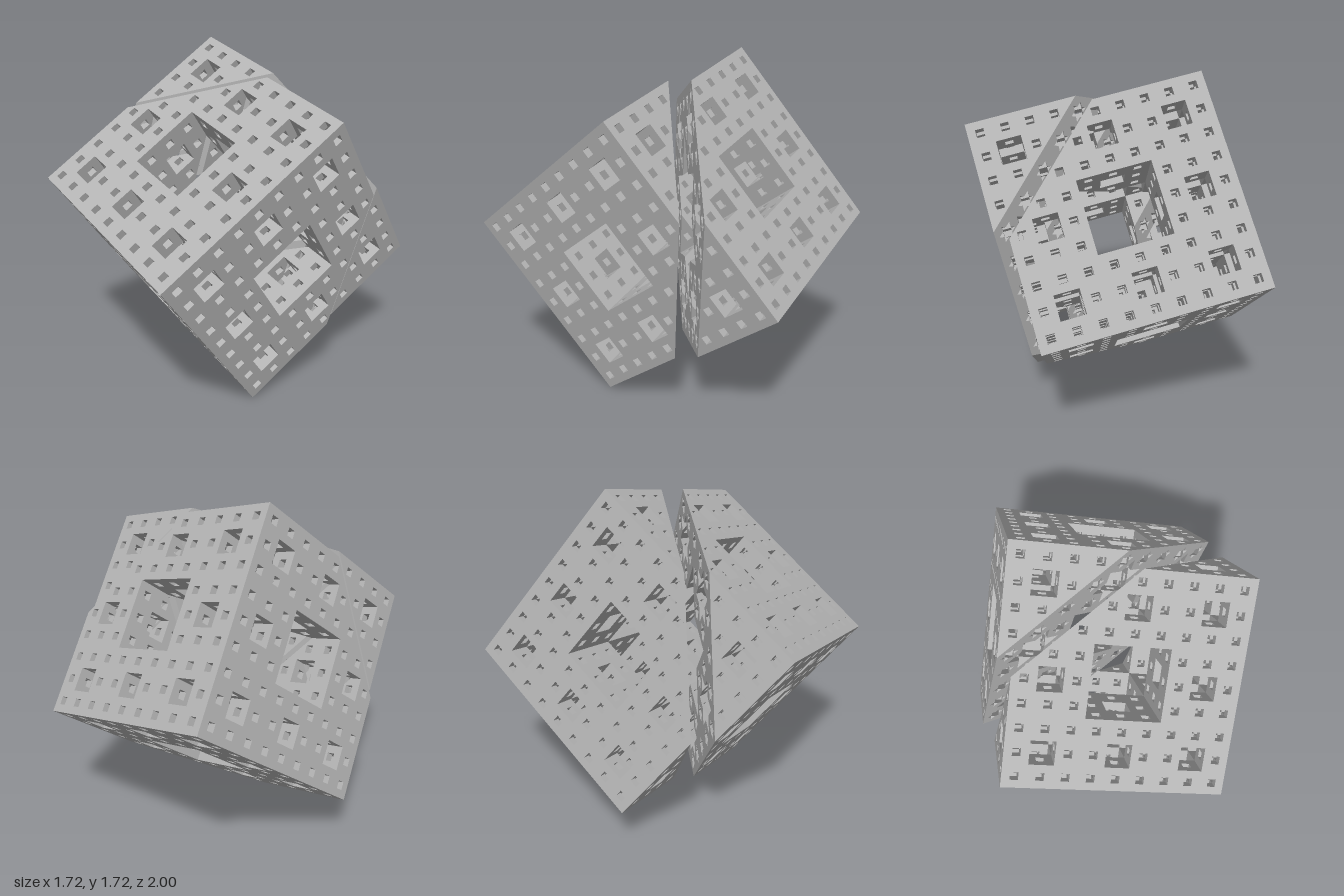
import * as THREE from 'three';

const N = 27;               // cells along one cube edge (three subdivisions)
const SIDE = 1.0905;        // cube edge length
const CELL = SIDE / N;
const GAP = 1 - SIDE * Math.sqrt(3) / 2;   // how far each half is moved from the cut

// Cube axes, with the body diagonal along z
const AXES = [105, 225, 345].map((deg) => {
  const a = THREE.MathUtils.degToRad(deg);
  const r = Math.sqrt(2 / 3);
  return new THREE.Vector3(r * Math.cos(a), r * Math.sin(a), Math.sqrt(1 / 3));
});

// A cell is removed when two of its base-3 digits are 1 at the same level
function isSolid(cell) {
  if (cell.some((c) => c < 0 || c >= N)) return false;
  for (let d = 1; d < N; d *= 3) {
    if (cell.filter((c) => Math.floor(c / d) % 3 === 1).length > 1) return false;
  }
  return true;
}

function toSpace(p) {
  const v = new THREE.Vector3();
  AXES.forEach((axis, i) => v.addScaledVector(axis, (p[i] - N / 2) * CELL));
  return v;
}

// Keep the part of a polygon on one side of the cutting plane z = 0
function clip(points, side) {
  const out = [];
  points.forEach((p, i) => {
    const q = points[(i + 1) % points.length];
    if (p.z * side > 0) out.push(p);
    if (p.z * q.z < 0) out.push(p.clone().lerp(q, p.z / (p.z - q.z)));
  });
  return out;
}

// One square side of a cell, wound to face outwards
function cellFace(cell, axis, dir) {
  const u = (axis + 1) % 3, v = (axis + 2) % 3;
  const quad = [[0, 0], [1, 0], [1, 1], [0, 1]].map(([a, b]) => {
    const p = [...cell];
    p[axis] += dir > 0 ? 1 : 0;
    p[u] += a;
    p[v] += b;
    return toSpace(p);
  });
  return dir > 0 ? quad : quad.reverse();
}

// Triangle or hexagon where the cutting plane passes through a cell
function cutFace(cell, side) {
  const t = 1.5 * N - cell[0] - cell[1] - cell[2];
  if (t < 0 || t > 3) return [];
  const points = [];
  for (let axis = 0; axis < 3; axis++) {
    for (const a of [0, 1]) for (const b of [0, 1]) {
      const along = t - a - b;
      if (along <= 0 || along >= 1) continue;
      const p = [...cell];
      p[axis] += along;
      p[(axis + 1) % 3] += a;
      p[(axis + 2) % 3] += b;
      points.push(toSpace(p));
    }
  }
  const mid = points.reduce((m, p) => m.add(p), new THREE.Vector3()).divideScalar(points.length);
  const angle = (p) => Math.atan2(p.y - mid.y, p.x - mid.x);
  return points.sort((p, q) => side * (angle(q) - angle(p)));
}

function halfGeometry(side) {
  const positions = [];
  const addPolygon = (pts) => {
    for (let i = 1; i + 1 < pts.length; i++) {
      for (const p of [pts[0], pts[i], pts[i + 1]]) positions.push(p.x, p.y, p.z);
    }
  };
  for (let x = 0; x < N; x++) for (let y = 0; y < N; y++) for (let z = 0; z < N; z++) {
    const cell = [x, y, z];
    if (!isSolid(cell)) continue;
    for (let axis = 0; axis < 3; axis++) for (const dir of [-1, 1]) {
      const next = [...cell];
      next[axis] += dir;
      if (!isSolid(next)) addPolygon(clip(cellFace(cell, axis, dir), side));
    }
    addPolygon(cutFace(cell, side));
  }
  const geometry = new THREE.BufferGeometry();
  geometry.setAttribute('position', new THREE.Float32BufferAttribute(positions, 3));
  geometry.computeVertexNormals();
  return geometry;
}

export function createModel() {
  const model = new THREE.Group();
  model.name = 'slicedFractalCube';
  const grey = new THREE.MeshStandardMaterial({ color: 0xb4b4b4 });
  grey.name = 'grey';

  // Two halves of the cube, pulled apart along the diagonal
  for (const [name, side] of [['frontHalf', 1], ['backHalf', -1]]) {
    const half = new THREE.Mesh(halfGeometry(side), grey);
    half.name = name;
    half.position.set(0, SIDE * Math.sqrt(2 / 3) * Math.sin(Math.PI * 75 / 180), side * GAP);
    model.add(half);
  }
  return model;
}
